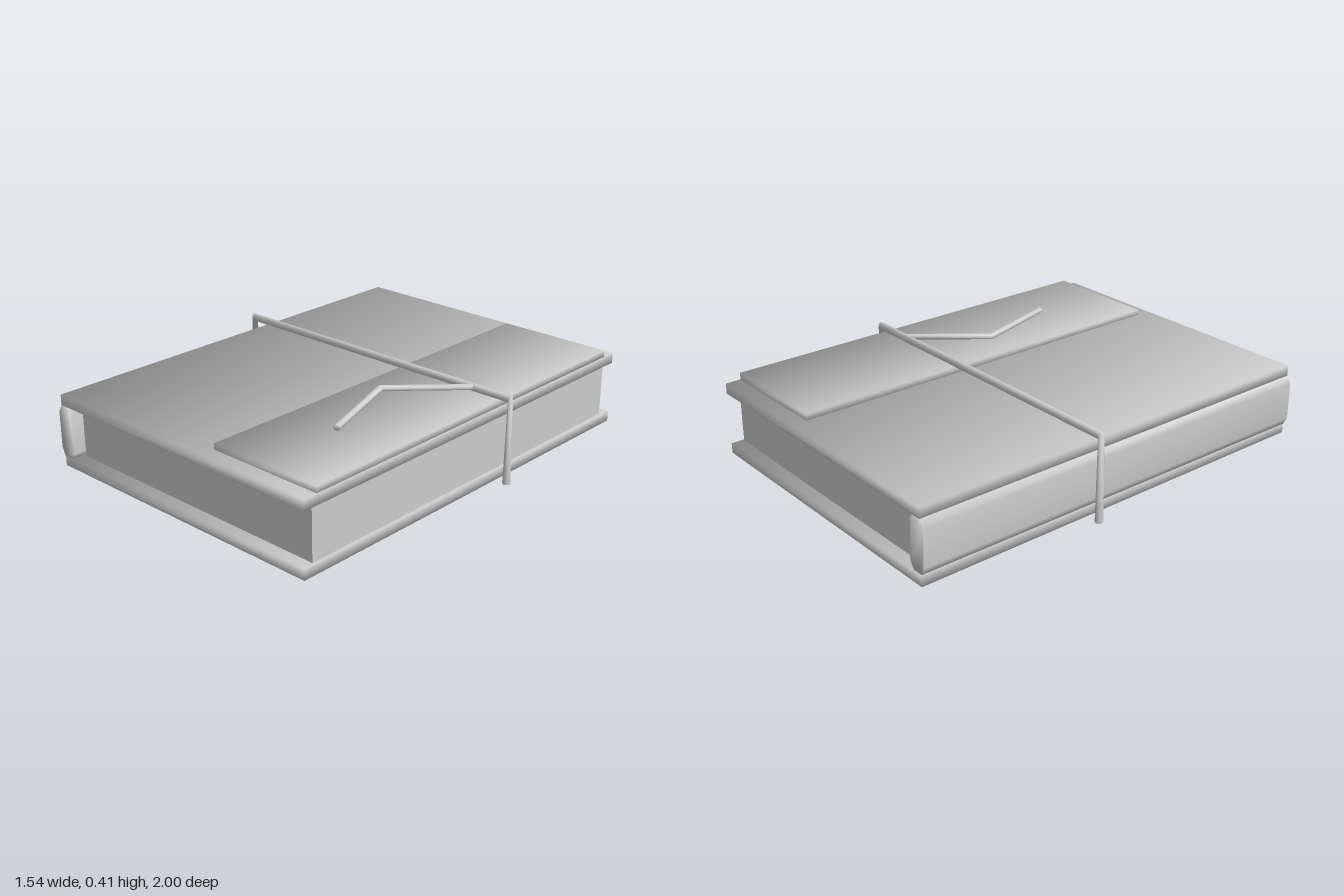
import * as THREE from 'three';
import { mergeVertices } from 'three/addons/utils/BufferGeometryUtils.js';

const grey = new THREE.MeshStandardMaterial({ color: 0xcccccc });
grey.name = 'plain grey';

function part(name, geometry) {
  const mesh = new THREE.Mesh(geometry, grey);
  mesh.name = name;
  return mesh;
}

// Slightly tilted board whose corner normals are averaged, for soft shading
function board(name, w, h, d, x, y, tiltX, tiltZ) {
  const g = new THREE.BoxGeometry(w, h, d);
  const p = g.attributes.position, n = g.attributes.normal;
  const v = new THREE.Vector3();
  for (let i = 0; i < p.count; i++) {
    v.fromBufferAttribute(p, i);
    p.setY(i, v.y + v.x * tiltX + v.z * tiltZ);
    v.set(Math.sign(v.x), Math.sign(v.y), Math.sign(v.z)).normalize();
    n.setXYZ(i, v.x, v.y, v.z);
  }
  g.translate(x, y, 0);
  return part(name, g);
}

// Closed cord through elliptical rings: [centre, half-axis u, half-axis v]
function cord(name, rings, sides = 8) {
  const pos = [], index = [];
  const add = (c, u, v, a) => {
    for (let k = 0; k < 3; k++) pos.push(c[k] + u[k] * Math.cos(a) + v[k] * Math.sin(a));
  };
  for (const [c, u, v] of rings)
    for (let i = 0; i < sides; i++) add(c, u, v, (i / sides) * Math.PI * 2);
  for (let r = 0; r < rings.length - 1; r++) {
    for (let i = 0; i < sides; i++) {
      const j = (i + 1) % sides, a = r * sides, b = a + sides;
      index.push(a + i, a + j, b + j, a + i, b + j, b + i);
    }
  }
  // End caps
  const last = (rings.length - 1) * sides;
  for (let i = 1; i < sides - 1; i++) {
    index.push(0, i + 1, i);
    index.push(last, last + i, last + i + 1);
  }
  const g = new THREE.BufferGeometry();
  g.setAttribute('position', new THREE.Float32BufferAttribute(pos, 3));
  g.setIndex(index);
  g.computeVertexNormals();
  return part(name, g);
}

// Chamfered spine, smoothed all round
function spine() {
  const outline = [[-0.71, 0.065], [-0.66, 0.065], [-0.64, 0.095], [-0.64, 0.27],
    [-0.66, 0.298], [-0.71, 0.298], [-0.728, 0.265], [-0.728, 0.1]];
  const shape = new THREE.Shape(outline.map(([x, y]) => new THREE.Vector2(x, y)));
  let g = new THREE.ExtrudeGeometry(shape, { depth: 2, bevelEnabled: false });
  g.translate(0, 0, -1);
  g.deleteAttribute('normal');
  g.deleteAttribute('uv');
  g = mergeVertices(g);
  g.computeVertexNormals();
  return part('spine', g);
}

export function createModel() {
  const model = new THREE.Group();
  model.name = 'journal';

  // Book block and covers
  const pages = part('pages', new THREE.BoxGeometry(1.335, 0.25, 1.89));
  pages.position.set(0.0275, 0.18, 0);
  model.add(pages, spine());
  model.add(board('bottomCover', 1.416, 0.046, 2, 0, 0.037, -0.004, 0.005));
  model.add(board('topCover', 1.416, 0.047, 2, 0, 0.319, -0.003, 0.002));
  model.add(board('flap', 0.54, 0.032, 1.86, 0.436, 0.354, 0, 0));

  // Strap over the top with a leg down each side
  const z = -0.162, r = 0.0175, side = [0, 0, r];
  model.add(cord('strap', [
    [[-0.752, 0, z], [-r, 0, 0], side],
    [[-0.75, 0.382, z], [-0.005, r, 0], side],
    [[0.75, 0.382, z], [0.005, r, 0], side],
    [[0.75, 0, z], [r, 0, 0], side],
  ]));

  // Loose bent end of the strap
  const path = [[0.56, 0.385, -0.155], [0.302, 0.394, 0.13], [0.434, 0.387, 0.535]];
  const up = [0, 0.013, 0];
  const dirs = [0, 1].map(i => new THREE.Vector2(
    path[i + 1][0] - path[i][0], path[i + 1][2] - path[i][2]).normalize());
  const mid = dirs[0].clone().add(dirs[1]).normalize();
  const mitre = 1 / mid.dot(dirs[0]);
  const across = (d, s) => [-d.y * s, 0, d.x * s];
  model.add(cord('strapTail', [
    [path[0], up, across(dirs[0], 0.016)],
    [path[1], up, across(mid, 0.016 * mitre)],
    [path[2], up, across(dirs[1], 0.016)],
  ]));

  return model;
}
